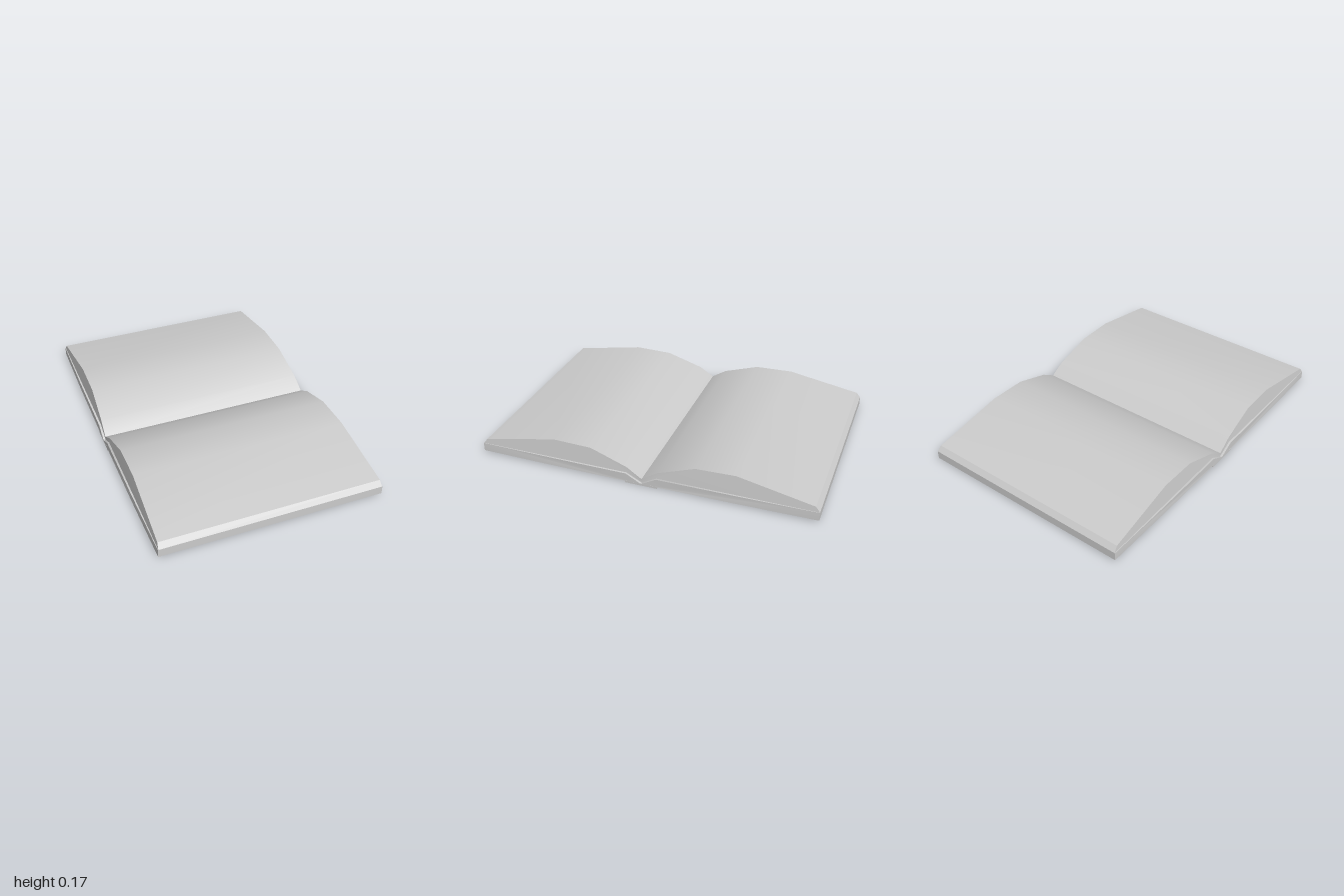
import * as THREE from 'three';
import { toCreasedNormals } from 'three/addons/utils/BufferGeometryUtils.js';

const material = new THREE.MeshStandardMaterial({ color: 0xcccccc });

// Extrudes a [z, y] profile along x; halfWidth(z, y) gives the half width at each point.
function slab(name, profile, halfWidth) {
  const shape = new THREE.Shape(profile.map(([z, y]) => new THREE.Vector2(z, y)));
  const geo = new THREE.ExtrudeGeometry(shape, { depth: 2, bevelEnabled: false });
  geo.translate(0, 0, -1);
  geo.rotateY(-Math.PI / 2);
  const p = geo.attributes.position;
  for (let i = 0; i < p.count; i++) {
    p.setX(i, Math.sign(p.getX(i)) * halfWidth(p.getZ(i), p.getY(i)));
  }
  const mesh = new THREE.Mesh(toCreasedNormals(geo, 0.56), material);
  mesh.name = name;
  return mesh;
}

export function createModel() {
  const book = new THREE.Group();
  book.name = 'openBook';

  // Cover board, sloping down to the fold
  const coverProfile = [
    [0, 0.01], [0.09, 0.01], [0.55, 0.01], [1, 0.01],
    [1, 0.06], [0.55, 0.06], [0.09, 0.06],
  ];
  // Arched page block with a chamfered outer edge
  const pageProfile = [
    [0, 0.012], [0.09, 0.06], [1, 0.06], [0.975, 0.09],
    [0.54, 0.173], [0.31, 0.167], [0.09, 0.093], [0, 0.035],
  ];

  for (const side of ['front', 'back']) {
    const half = new THREE.Group();
    half.name = side + 'Half';
    half.add(
      slab('cover', coverProfile, (z) => 0.661 - 0.009 * Math.max(0, (z - 0.09) / 0.91) ** 2),
      slab('pages', pageProfile, (z, y) => 0.649 - 0.12 * Math.max(0, y - 0.06)),
    );
    if (side === 'back') half.rotation.y = Math.PI;
    book.add(half);
  }

  // Thin spine strip under the fold
  const spine = new THREE.Mesh(new THREE.BoxGeometry(1.322, 0.012, 0.19), material);
  spine.name = 'spine';
  spine.position.y = 0.006;
  book.add(spine);

  return book;
}
